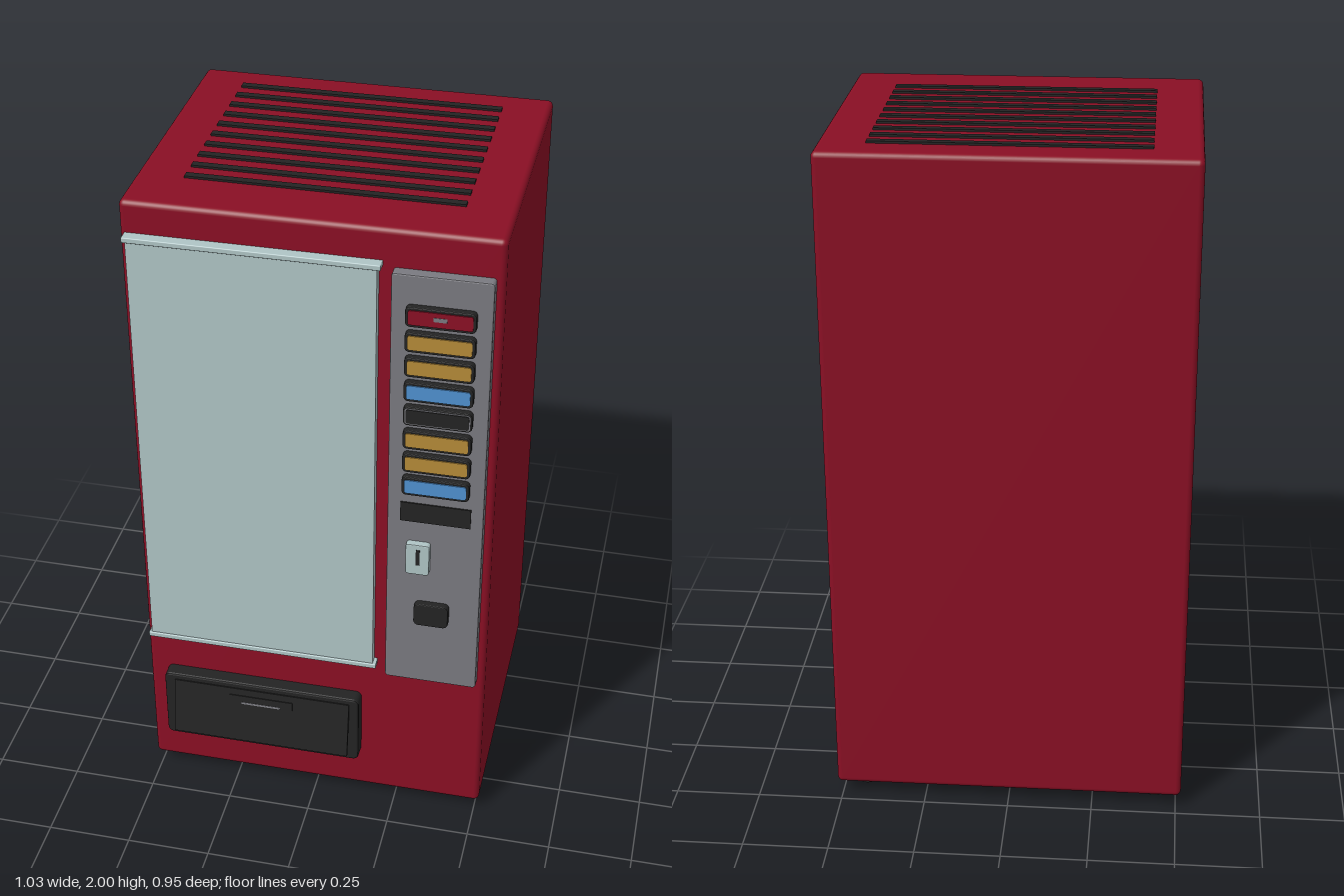
import * as THREE from 'three';
import { RoundedBoxGeometry } from 'three/addons/geometries/RoundedBoxGeometry.js';

const mat = (name, color) => {
  const m = new THREE.MeshStandardMaterial({ color });
  m.name = name;
  return m;
};

export function createModel() {
  const red = mat('cabinet red', 0x8a0f24);
  const black = mat('black plastic', 0x232323);
  const glass = mat('pale glass', 0xafc4c5);
  const grey = mat('panel grey', 0x7a7a80);
  const gold = mat('button gold', 0xb58a38);
  const blue = mat('button blue', 0x4f90d0);

  const model = new THREE.Group();
  model.name = 'vendingMachine';

  const add = (name, geometry, material, x = 0, y = 0, z = 0, parent = model) => {
    const mesh = new THREE.Mesh(geometry, material);
    mesh.name = name;
    mesh.position.set(x, y, z);
    parent.add(mesh);
    return mesh;
  };
  // Box given by its limits; r > 0 rounds its edges
  const block = (name, material, [x0, x1], [y0, y1], [z0, z1], r = 0, parent = model) => {
    const s = [x1 - x0, y1 - y0, z1 - z0];
    const g = r ? new RoundedBoxGeometry(...s, 3, r) : new THREE.BoxGeometry(...s);
    return add(name, g, material, (x0 + x1) / 2, (y0 + y1) / 2, (z0 + z1) / 2, parent);
  };
  // Plate with rounded outline, its back at z
  const plate = (name, material, x, y, w, h, r, z, depth, bevel = 0, parent = model) => {
    const a = w / 2 - bevel, b = h / 2 - bevel;
    const s = new THREE.Shape();
    s.moveTo(-a + r, -b);
    s.lineTo(a - r, -b).absarc(a - r, -b + r, r, -Math.PI / 2, 0);
    s.lineTo(a, b - r).absarc(a - r, b - r, r, 0, Math.PI / 2);
    s.lineTo(-a + r, b).absarc(-a + r, b - r, r, Math.PI / 2, Math.PI);
    s.lineTo(-a, -b + r).absarc(-a + r, -b + r, r, Math.PI, Math.PI * 1.5);
    const g = new THREE.ExtrudeGeometry(s, {
      depth: depth - bevel * 2, curveSegments: 5, bevelEnabled: bevel > 0,
      bevelSize: bevel, bevelThickness: bevel, bevelSegments: 2,
    });
    return add(name, g, material, x, y, z + bevel, parent);
  };

  // Cabinet and feet
  block('cabinet', red, [-0.515, 0.515], [0.04, 1.994], [-0.474, 0.396], 0.016);
  for (const x of [-0.436, 0.436]) {
    for (const z of [-0.384, 0.314]) {
      add('foot', new THREE.CylinderGeometry(0.027, 0.027, 0.05, 20), black, x, 0.025, z);
    }
  }

  // Vent slats on the roof
  for (let i = 0; i < 10; i++) {
    const z = -0.367 + i * 0.0655;
    block('ventSlat', black, [-0.381, 0.381], [1.985, 2], [z - 0.0115, z + 0.0115]);
  }

  // Display window with top and bottom rails
  block('displayWindow', glass, [-0.494, 0.184], [0.55, 1.895], [0.39, 0.423]);
  for (const y of [0.552, 1.894]) {
    block('windowRail', glass, [-0.503, 0.194], [y - 0.008, y + 0.008], [0.39, 0.428], 0.003);
  }

  // Control panel
  plate('controlPanel', grey, 0.357, 1.205, 0.27, 1.36, 0.006, 0.39, 0.037, 0.004);

  // Selection buttons: dark housing with a coloured face
  const faces = [red, gold, gold, blue, black, gold, gold, blue];
  faces.forEach((face, i) => {
    const y = 1.77 - i * 0.0767;
    const button = new THREE.Group();
    button.name = 'selectionButton';
    button.position.set(0.357, y, 0);
    model.add(button);
    plate('buttonHousing', black, 0, 0, 0.188, 0.06, 0.01, 0.42, 0.024, 0.003, button);
    if (face === black) plate('buttonTrim', grey, 0, 0, 0.178, 0.049, 0.007, 0.443, 0.002, 0, button);
    plate('buttonFace', face, 0, 0, 0.172, 0.043, 0.006, 0.443, 0.004, 0, button);
    if (face === red) block('buttonMark', grey, [-0.018, 0.018], [-0.004, 0.008], [0.446, 0.448], 0, button);
  });

  // Display strip, coin slot and coin return
  block('priceDisplay', black, [0.259, 0.457], [1.105, 1.168], [0.42, 0.431]);
  plate('coinPlate', glass, 0.313, 0.985, 0.068, 0.104, 0.006, 0.42, 0.027, 0.003);
  block('coinSlot', black, [0.309, 0.32], [0.968, 1.02], [0.444, 0.449]);
  plate('coinReturn', black, 0.356, 0.788, 0.1, 0.076, 0.012, 0.42, 0.027, 0.003);

  // Delivery tray with a flap that leans out at the bottom
  plate('deliveryTray', black, -0.156, 0.298, 0.604, 0.238, 0.012, 0.385, 0.055, 0.006);
  const flap = new THREE.Group();
  flap.name = 'deliveryFlap';
  flap.position.set(-0.154, 0.398, 0.439);
  flap.rotation.x = -0.15;
  model.add(flap);
  block('flapPanel', black, [-0.271, 0.271], [-0.184, 0], [-0.005, 0.005], 0, flap);
  block('flapLabel', black, [-0.098, 0.098], [-0.07, -0.022], [0.004, 0.008], 0, flap);
  block('flapMark', grey, [-0.06, 0.06], [-0.049, -0.043], [0.007, 0.009], 0, flap);

  return model;
}
